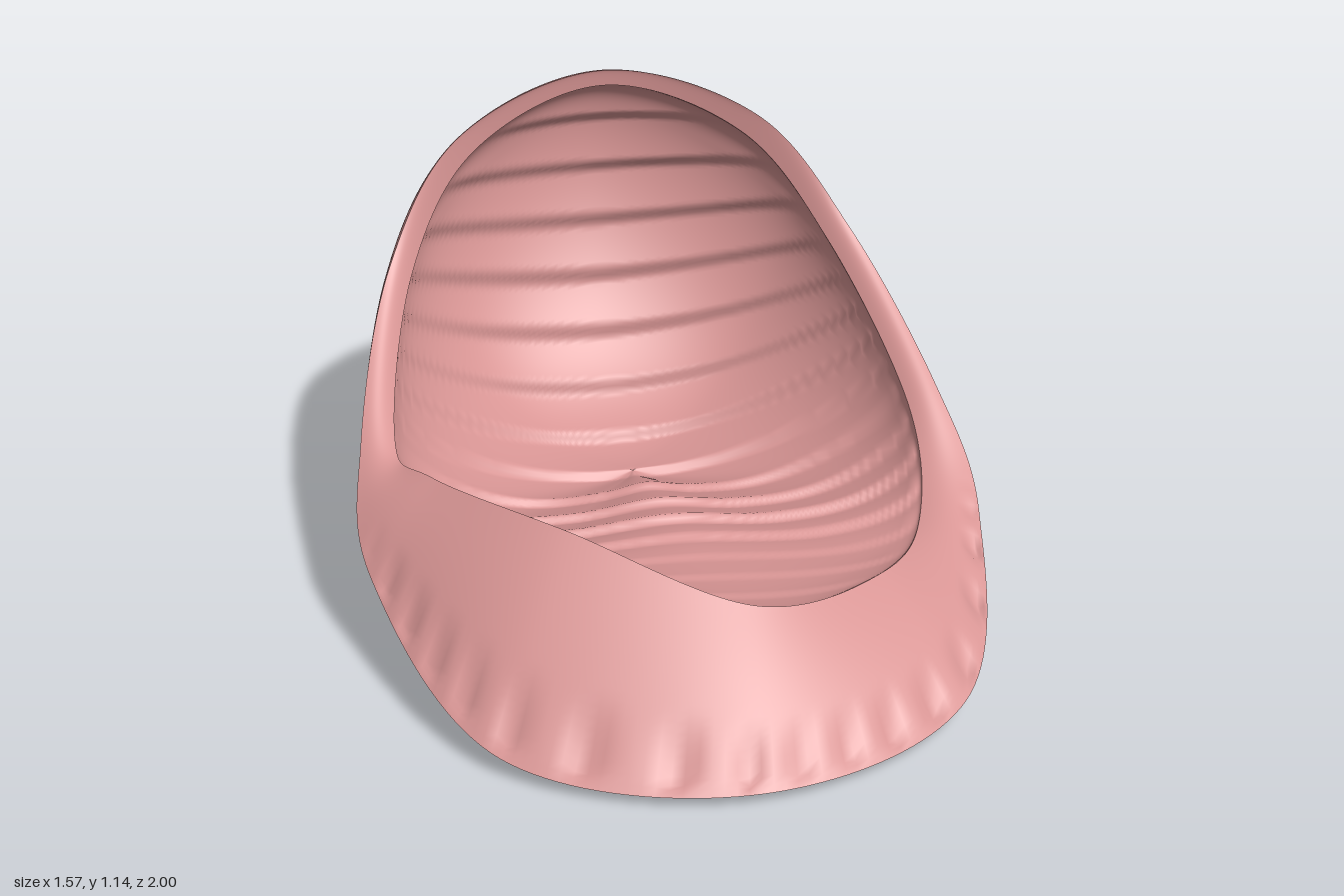
import * as THREE from 'three';

const COLUMNS = 240;
const { smoothstep } = THREE.MathUtils;

// Closed guide curve from back centre to front centre, mirrored to the -x side.
// "left" replaces mirrored stations that differ, keyed by station number.
function ring(half, left = {}) {
  const pts = half.map((p) => new THREE.Vector3(...p));
  for (let i = half.length - 2; i >= 1; i--) {
    const [x, y, z] = left[i] || [-half[i][0], half[i][1], half[i][2]];
    pts.push(new THREE.Vector3(x, y, z));
  }
  return new THREE.CatmullRomCurve3(pts, true, 'catmullrom', 0.5);
}

// Outer edge of the whole body
const rim = ring([[0, 1.135, -0.76], [0.4, 1.01, -0.68], [0.62, 0.73, -0.5], [0.75, 0.43, -0.12],
  [0.77, 0.22, 0.2], [0.55, 0.05, 0.77], [0, 0.03, 1]]);

// Edge of the hollow: raised flap at the front left, low notch at the front right
const lip = ring([[0, 1.09, -0.77], [0.36, 0.96, -0.7], [0.56, 0.7, -0.52], [0.67, 0.4, -0.12],
  [0.62, 0.23, 0.18], [0.42, 0.26, 0.5], [0.06, 0.32, 0.68]],
{ 5: [-0.33, 0.43, 0.44], 4: [-0.6, 0.425, 0.1], 3: [-0.665, 0.43, -0.12] });

// Bulge of the body: upper and lower handles of every rib from rim to bottom
const upper = ring([[0, 1.05, -1.17], [0.58, 0.75, -0.85], [0.74, 0.26, -0.17], [0.55, 0.09, 0.36], [0, 0.1, 0.6]]);
const lower = ring([[0, 0.05, -1.02], [0.45, 0.05, -0.85], [0.55, 0.02, -0.25], [0.3, 0.12, 0], [0, 0.2, 0]]);
const bottom = new THREE.Vector3(0, 0, -0.52);
const floor = new THREE.Vector3(0, 0.1, -0.42);

const bezier = (a, b, c, d, t) => new THREE.CubicBezierCurve3(a, b, c, d).getPoint(t);

// Moves an outside handle inward by the wall thickness
const inset = (p) => p.set(p.x * 0.92, p.y * 0.93 + 0.07, p.z * 0.9);

// Outside, from the bottom up to the rim
function outsidePoint(u, v) {
  const p = bezier(bottom, lower.getPoint(u), upper.getPoint(u), rim.getPoint(u), v);
  p.y = Math.max(p.y, 0);
  return p;
}

// Slope from rim to lip, with short flutes along the front edge
function skirtPoint(u, v) {
  const p = rim.getPoint(u).lerp(lip.getPoint(u), v);
  const front = smoothstep(u, 0.31, 0.36) * (1 - smoothstep(u, 0.64, 0.69));
  const band = smoothstep(v, 0.01, 0.1) * (1 - smoothstep(v, 0.15, 0.4));
  const groove = Math.abs(Math.sin(u * Math.PI * 46 + Math.sin(u * 40))) ** 6;
  p.y += 0.015 * Math.sin(v * Math.PI) - 0.025 * groove * front * band;
  return p;
}

// Hollow, from the lip down to the floor, with stepped growth ridges across it
function hollowPoint(u, v) {
  const p = bezier(lip.getPoint(u), inset(upper.getPoint(u)), inset(lower.getPoint(u)), floor, v);
  const dy = p.y - 0.95, dz = p.z - 0.1;
  const phase = Math.atan2(-dy, -dz) / (Math.PI / 2) * 10.5 + p.x * p.x * 0.8 + 20;
  const f = phase % 1;
  const step = f < 0.8 ? f / 0.8 : (1 - f) / 0.2;
  const depth = 0.022 * step * smoothstep(v, 0.04, 0.2) * (1 - 0.75 * smoothstep(p.z, 0, 0.3));
  const r = Math.hypot(dy, dz);
  p.y -= dy / r * depth;
  p.z -= dz / r * depth;
  return p;
}

// Closed band of smooth skin; pointAt(u, v) runs round by u and along by v
function skin(pointAt, rows) {
  const pos = [], index = [], w = rows + 1;
  for (let j = 0; j < COLUMNS; j++) {
    const next = (j + 1) % COLUMNS;
    for (let i = 0; i <= rows; i++) {
      pos.push(...pointAt(j / COLUMNS, i / rows).toArray());
      if (i === rows) continue;
      const a = j * w + i, b = next * w + i;
      index.push(a, a + 1, b, a + 1, b + 1, b);
    }
  }
  const g = new THREE.BufferGeometry();
  g.setAttribute('position', new THREE.Float32BufferAttribute(pos, 3));
  g.setIndex(index);
  g.computeVertexNormals();
  return g;
}

export function createModel() {
  const group = new THREE.Group();
  group.name = 'shell';
  const pink = new THREE.MeshStandardMaterial({ color: 0xd99695 });
  pink.name = 'salmon pink';

  const add = (name, pointAt, rows) => {
    const mesh = new THREE.Mesh(skin(pointAt, rows), pink);
    mesh.name = name;
    group.add(mesh);
  };
  add('outerShell', outsidePoint, 40);
  add('flutedSkirt', skirtPoint, 24);
  add('ribbedHollow', hollowPoint, 120);
  return group;
}
